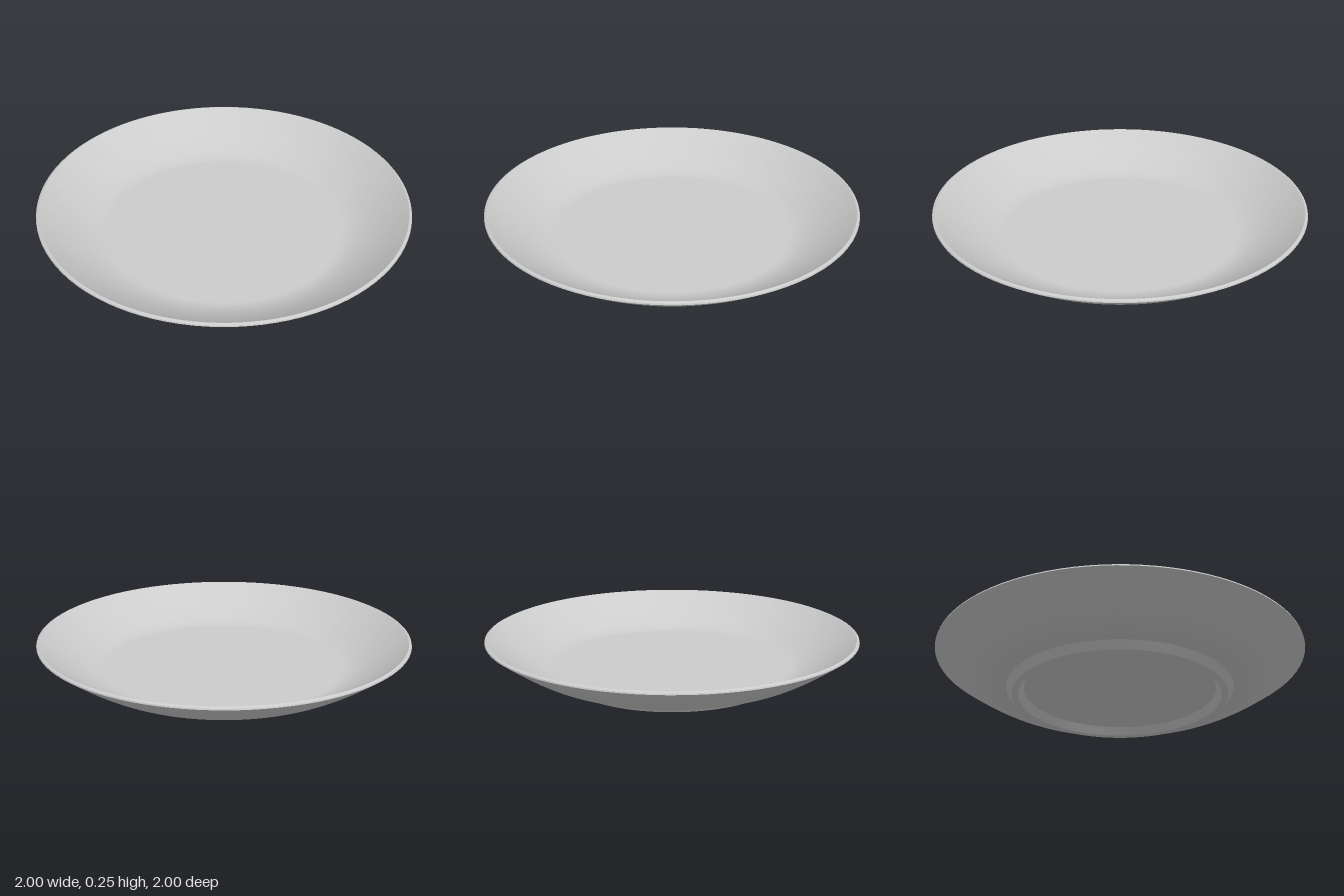
import * as THREE from 'three';

const SEGMENTS = 96;
const material = new THREE.MeshStandardMaterial({ color: 0xcccccc, flatShading: true });

const v = (r, y) => new THREE.Vector2(r, y);

// Points along a curved wall between two profile points
const curve = (a, control, b, steps) =>
  new THREE.QuadraticBezierCurve(a, control, b).getPoints(steps);

function turned(name, profile) {
  const mesh = new THREE.Mesh(new THREE.LatheGeometry(profile, SEGMENTS), material);
  mesh.name = name;
  return mesh;
}

export function createModel() {
  const plate = new THREE.Group();
  plate.name = 'plate';

  // Dish: flat underside, curved outer wall, bevelled lip, curved inner wall, flat floor
  plate.add(turned('dish', [
    v(0, 0.04),
    ...curve(v(0.63, 0.04), v(0.74, 0.04), v(1, 0.232), 12),
    v(0.998, 0.239),
    v(0.985, 0.245),
    ...curve(v(0.982, 0.243), v(0.75, 0.075), v(0.64, 0.075), 12),
    v(0, 0.075),
  ]));

  // Foot ring: tapered on both sides, joined to the underside
  plate.add(turned('footRing', [
    v(0.515, 0.04),
    v(0.545, 0),
    v(0.58, 0),
    v(0.612, 0.04),
  ]));

  return plate;
}
